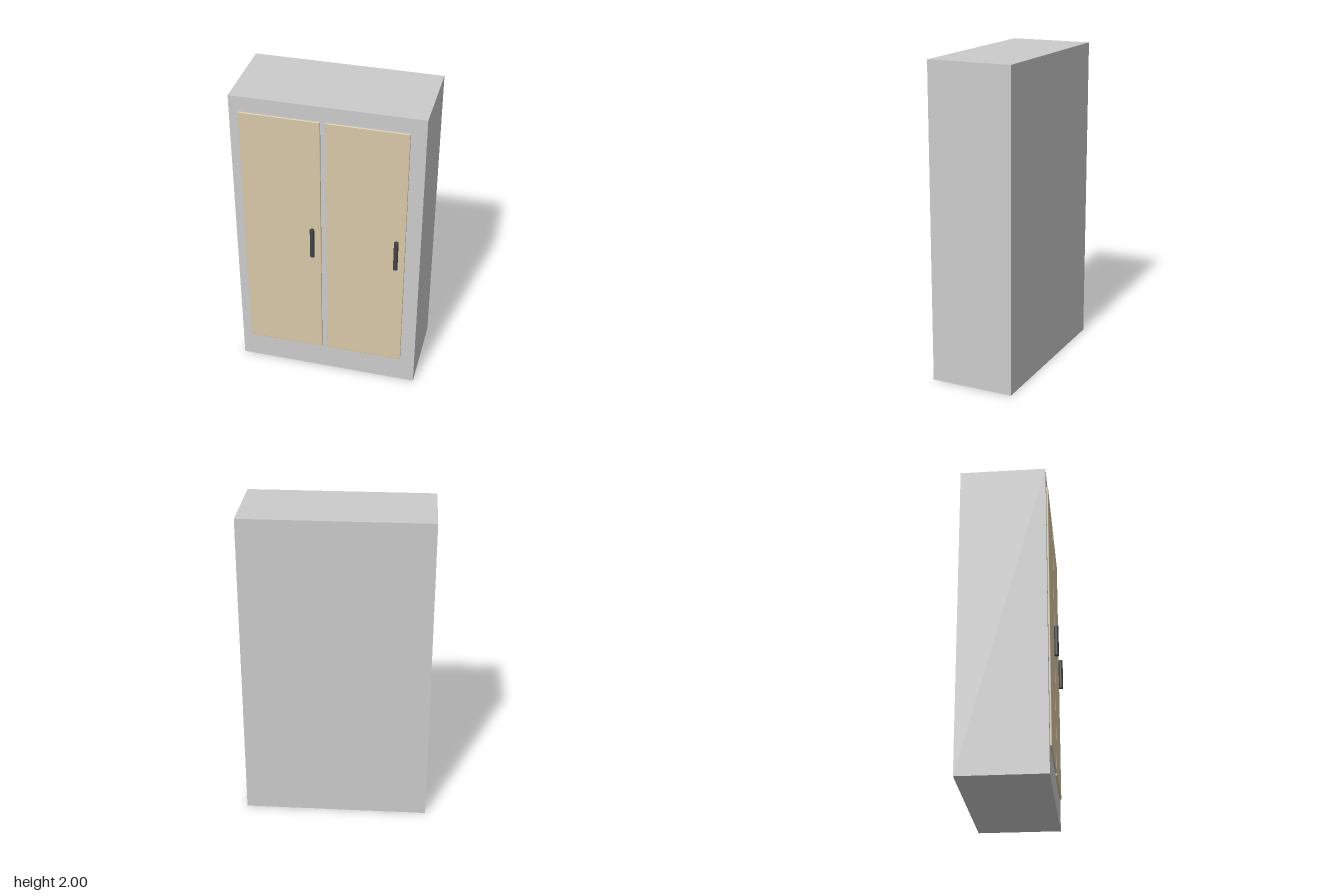
import * as THREE from 'three';
import { RoundedBoxGeometry } from 'three/addons/geometries/RoundedBoxGeometry.js';

export function createModel() {
  const wardrobe = new THREE.Group();
  wardrobe.name = 'wardrobe';

  const grey = new THREE.MeshStandardMaterial({ color: 0xcccccc });
  const tan = new THREE.MeshStandardMaterial({ color: 0xd8c8a8 });
  const dark = new THREE.MeshStandardMaterial({ color: 0x444444 });

  const add = (name, geometry, material, x, y, z) => {
    const mesh = new THREE.Mesh(geometry, material);
    mesh.name = name;
    mesh.position.set(x, y, z);
    wardrobe.add(mesh);
  };

  // Cabinet body, slightly behind centre to leave room for the handles
  add('cabinet', new THREE.BoxGeometry(1.17, 2, 0.535), grey, 0, 1, -0.0205);

  // Two thin door panels, half sunk into the cabinet, each with an upright bar handle
  const doorGeometry = new RoundedBoxGeometry(0.492, 1.72, 0.026, 2, 0.003);
  const handleGeometry = new THREE.CylinderGeometry(0.014, 0.014, 0.204, 24);
  const doors = [
    { side: 'right', x: -0.281, handleX: -0.087 },
    { side: 'left', x: 0.246, handleX: 0.439 },
  ];
  for (const { side, x, handleX } of doors) {
    add(`${side}Door`, doorGeometry, tan, x, 1.042, 0.245);
    add(`${side}Handle`, handleGeometry, dark, handleX, 1.042, 0.273);
  }

  return wardrobe;
}
